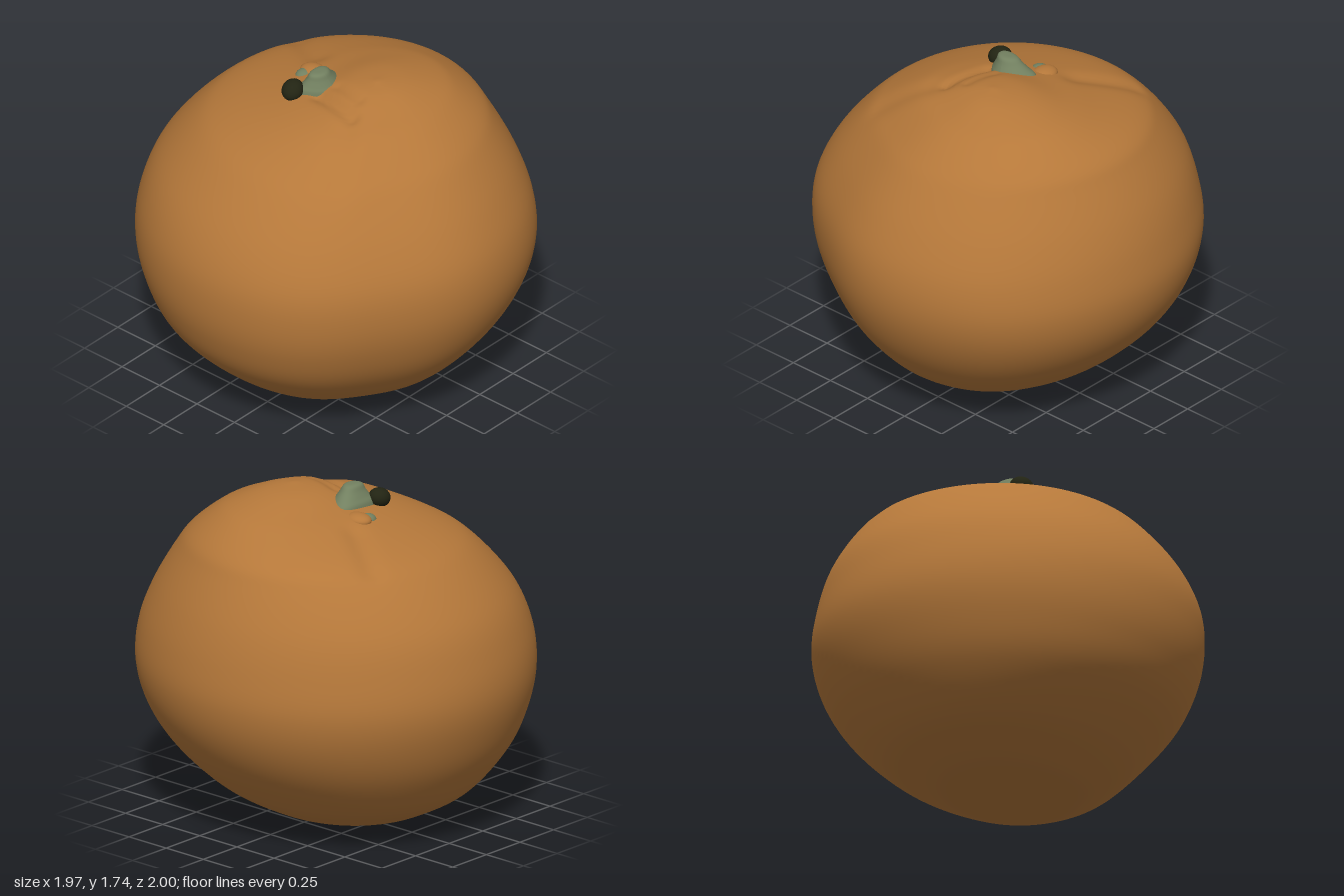
import * as THREE from 'three';

const peel = new THREE.MeshStandardMaterial({ name: 'orange peel', color: 0xb5783a });
const green = new THREE.MeshStandardMaterial({ name: 'stem green', color: 0x728060 });
const dark = new THREE.MeshStandardMaterial({ name: 'dark stem scar', color: 0x222413 });

// Fruit sections: height, min x, max x, min z, max z
const LEVELS = [
  [0.0, -0.08, -0.08, -0.04, -0.04],
  [0.006, -0.26, 0.1, -0.24, 0.14],
  [0.03, -0.38, 0.27, -0.38, 0.32],
  [0.08, -0.48, 0.4, -0.51, 0.47],
  [0.2, -0.66, 0.6, -0.71, 0.66],
  [0.4, -0.855, 0.805, -0.87, 0.84],
  [0.6, -0.95, 0.93, -0.96, 0.95],
  [0.8, -0.985, 0.98, -1.0, 1.0],
  [1.0, -0.965, 0.96, -0.975, 0.985],
  [1.2, -0.87, 0.9, -0.9, 0.9],
  [1.4, -0.7, 0.8, -0.74, 0.77],
  [1.5, -0.56, 0.73, -0.59, 0.68],
  [1.6, -0.36, 0.58, -0.28, 0.55],
  [1.65, -0.2, 0.47, -0.1, 0.45],
  [1.7, -0.04, 0.28, 0.05, 0.32],
  [1.72, 0.1, 0.1, 0.2, 0.2],
];

// Creases in the peel around the stem: x0, z0, x1, z1, depth, width
const CREASES = [
  [-0.12, 0.0, -0.16, 0.26, 0.025, 0.035],
  [-0.03, 0.05, -0.06, 0.22, 0.012, 0.03],
  [-0.25, 0.3, -0.46, 0.42, 0.015, 0.07],
  [0.2, -0.3, 0.36, -0.55, 0.02, 0.06],
];

function creaseDepth(x, z) {
  let d = 0;
  for (const [x0, z0, x1, z1, depth, width] of CREASES) {
    const dx = x1 - x0, dz = z1 - z0;
    const t = THREE.MathUtils.clamp(((x - x0) * dx + (z - z0) * dz) / (dx * dx + dz * dz), 0, 1);
    const dist = Math.hypot(x - x0 - t * dx, z - z0 - t * dz);
    d += depth * Math.exp(-((dist / width) ** 2));
  }
  return d;
}

const bump = (a, centre, width) => Math.exp(-(((a - centre) / width) ** 2));

// Lofts smooth, slightly uneven rings through the fruit sections
function fruitGeometry() {
  const rows = 110, cols = 120;
  const curve = (fn) => new THREE.CatmullRomCurve3(LEVELS.map(fn), false, 'catmullrom', 0.5);
  const centres = curve(([y, a, b, c, d]) => new THREE.Vector3((a + b) / 2, y, (c + d) / 2));
  const radii = curve(([y, a, b, c, d]) => new THREE.Vector3((b - a) / 2, y, (d - c) / 2));
  const pos = [], index = [];
  for (let i = 0; i <= rows; i++) {
    const c = centres.getPoint(i / rows), r = radii.getPoint(i / rows);
    for (let j = 0; j < cols; j++) {
      const a = (j / cols) * Math.PI * 2;
      const k = 1 - 0.055 * bump(a, 2.13, 0.4) + 0.02 * bump(a, 0.9, 0.4);
      const x = c.x + r.x * k * Math.cos(a), z = c.z + r.z * k * Math.sin(a);
      const y = Math.max(0, c.y) - (c.y > 1.2 ? creaseDepth(x, z) : 0);
      pos.push(x, y, z);
      if (i < rows) {
        const p = i * cols + j, q = i * cols + ((j + 1) % cols);
        if (i > 0) index.push(p, p + cols, q);
        else index.push(p, p + cols, q + cols);
        if (i > 0 && i < rows - 1) index.push(q, p + cols, q + cols);
      }
    }
  }
  const g = new THREE.BufferGeometry();
  g.setAttribute('position', new THREE.Float32BufferAttribute(pos, 3));
  g.setIndex(index);
  g.computeVertexNormals();
  // The coincident vertices of the two poles share one direction
  for (let j = 0; j < cols; j++) {
    g.attributes.normal.setXYZ(j, 0, -1, 0);
    g.attributes.normal.setXYZ(rows * cols + j, 0, 1, 0);
  }
  return g;
}

// Stem nub: flared base narrowing to a rounded flat top, leaning back and bent to a crescent
function stemGeometry() {
  const profile = [[0.135, -0.06], [0.125, 0], [0.1, 0.03], [0.075, 0.06], [0.058, 0.085], [0.035, 0.094], [0, 0.095]];
  const curve = new THREE.SplineCurve(profile.map(([r, y]) => new THREE.Vector2(r, y)));
  const pts = curve.getPoints(24);
  pts[pts.length - 1].x = 0;
  const g = new THREE.LatheGeometry(pts, 40);
  const p = g.attributes.position;
  for (let i = 0; i < p.count; i++) {
    const x = p.getX(i), y = p.getY(i), z = p.getZ(i);
    p.setXYZ(i, x - 0.25 * Math.max(0, y), y, z * 0.7 - 2.2 * x * x);
  }
  g.computeVertexNormals();
  return g;
}

export function createModel() {
  const model = new THREE.Group();
  model.name = 'orangeFruit';
  const add = (name, geometry, material, position, scale = [1, 1, 1], rotation = [0, 0, 0]) => {
    const mesh = new THREE.Mesh(geometry, material);
    mesh.name = name;
    mesh.position.set(...position);
    mesh.scale.set(...scale);
    mesh.rotation.set(...rotation);
    model.add(mesh);
  };
  const ball = new THREE.SphereGeometry(1, 28, 18);

  add('fruitBody', fruitGeometry(), peel, [0, 0, 0]);
  add('stem', stemGeometry(), green, [-0.02, 1.64, -0.06]);
  // Broken side of the stem
  add('stemScar', ball, dark, [-0.16, 1.645, -0.135], [0.062, 0.05, 0.055], [0, 0.3, 0.3]);
  // Leaf lobe behind the stem with a fold of peel over it
  add('calyxLobe', ball, green, [0.03, 1.595, -0.225], [0.05, 0.035, 0.045]);
  add('peelFold', ball, peel, [0.075, 1.605, -0.205], [0.06, 0.035, 0.075]);
  return model;
}
